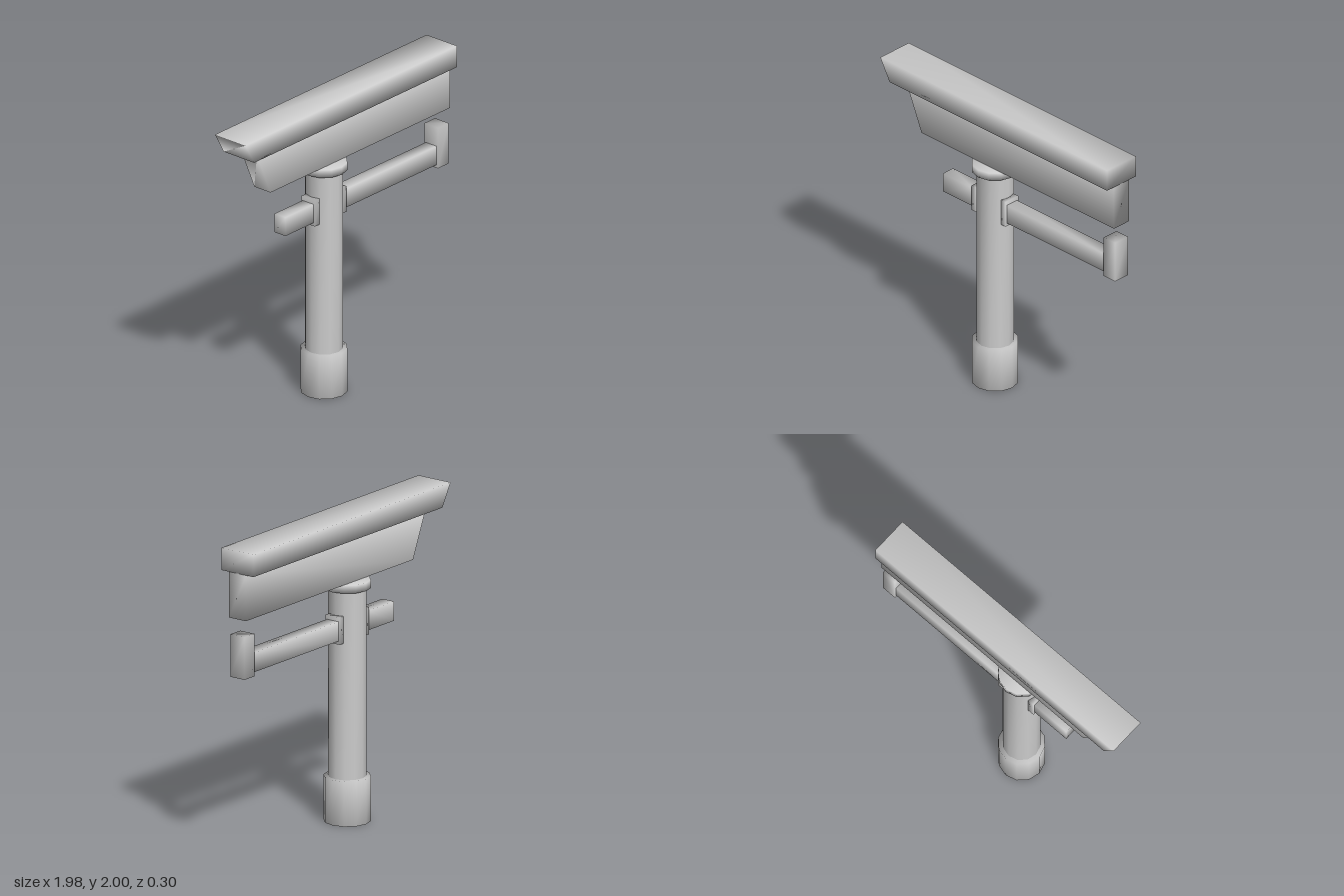
import * as THREE from 'three';
import { mergeVertices } from 'three/addons/utils/BufferGeometryUtils.js';

const material = new THREE.MeshStandardMaterial({ color: 0xcccccc });
const POST_X = -0.113;

// Weld all corners so the shading runs smoothly over every edge
function weld(geometry) {
  geometry.deleteAttribute('normal');
  geometry.deleteAttribute('uv');
  const welded = mergeVertices(geometry, 1e-4);
  welded.computeVertexNormals();
  return welded;
}

export function createModel() {
  const group = new THREE.Group();

  function add(name, geometry) {
    const mesh = new THREE.Mesh(geometry, material);
    mesh.name = name;
    group.add(mesh);
    return mesh;
  }

  // Beam with a side outline in x/y, extruded symmetrically about z = 0
  function beam(name, points, halfDepth) {
    const shape = new THREE.Shape(points.map(([x, y]) => new THREE.Vector2(x, y)));
    const geometry = new THREE.ExtrudeGeometry(shape, { depth: 2 * halfDepth, bevelEnabled: false });
    geometry.translate(0, 0, -halfDepth);
    add(name, weld(geometry));
  }

  function block(name, x0, x1, y0, y1, halfDepth) {
    beam(name, [[x0, y0], [x1, y0], [x1, y1], [x0, y1]], halfDepth);
  }

  // Twelve-sided upright drum on the post axis
  function drum(name, radius, y0, y1, open = false) {
    const geometry = new THREE.CylinderGeometry(radius, radius, y1 - y0, 12, 1, open);
    geometry.translate(POST_X, (y0 + y1) / 2, 0);
    add(name, weld(geometry));
  }

  // Upright post
  drum('base', 0.148, 0, 0.292);
  drum('post', 0.12, 0.29, 1.51, true);
  drum('collar', 0.148, 1.508, 1.56);

  // Slanted-end top beams
  beam('lowerBeam', [[-0.69, 1.56], [0.992, 1.56], [0.992, 1.856], [-0.817, 1.856]], 0.067);
  beam('topBeam', [[-0.91, 1.856], [0.992, 1.856], [0.992, 2], [-0.992, 2]], 0.126);

  // Cross rail with brackets at the post and an end stop
  block('rightRail', -0.525, -0.26, 1.2, 1.326, 0.045);
  block('leftRail', 0.034, 0.892, 1.2, 1.326, 0.045);
  block('rightBracket', -0.262, -0.218, 1.178, 1.353, 0.056);
  block('leftBracket', -0.006, 0.034, 1.178, 1.353, 0.056);
  block('endStop', 0.892, 0.992, 1.178, 1.453, 0.056);

  return group;
}
